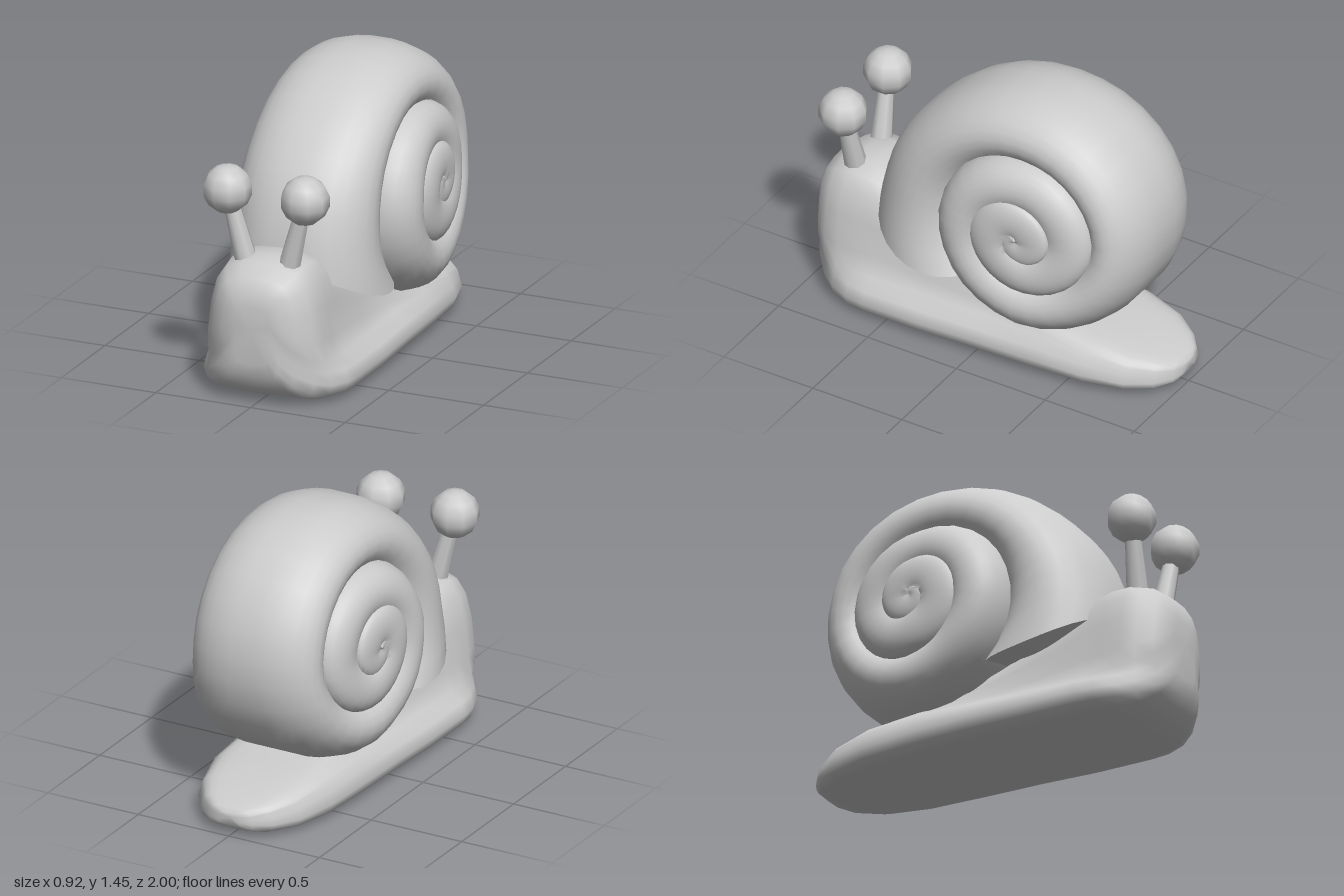
import * as THREE from 'three';
import { toCreasedNormals } from 'three/addons/utils/BufferGeometryUtils.js';

const material = new THREE.MeshStandardMaterial({ color: 0xcccccc });

// Skins a list of closed rings (arrays of [x, y, z]) and caps both ends.
function loft(rings) {
  const n = rings[0].length, last = (rings.length - 1) * n;
  const points = rings.flat();
  const index = [];
  for (let i = 0; i < rings.length - 1; i++) {
    for (let j = 0; j < n; j++) {
      const a = i * n + j, b = i * n + (j + 1) % n;
      index.push(a, a + n, b, b, a + n, b + n);
    }
  }
  const centre = (ring) => [0, 1, 2].map((k) => ring.reduce((s, p) => s + p[k], 0) / n);
  const c0 = points.push(centre(rings[0])) - 1;
  const c1 = points.push(centre(rings[rings.length - 1])) - 1;
  for (let j = 0; j < n; j++) {
    const k = (j + 1) % n;
    index.push(c0, j, k, c1, last + k, last + j);
  }
  const geometry = new THREE.BufferGeometry();
  geometry.setAttribute('position', new THREE.Float32BufferAttribute(points.flat(), 3));
  geometry.setIndex(index);
  geometry.computeVertexNormals();
  return geometry;
}

// Linear lookup in a table whose rows start with the key.
function sample(table, key) {
  let i = 0;
  while (i < table.length - 2 && key > table[i + 1][0]) i++;
  const t = THREE.MathUtils.clamp((key - table[i][0]) / (table[i + 1][0] - table[i][0]), 0, 1);
  return table[i].slice(1).map((v, k) => v + (table[i + 1][k + 1] - v) * t);
}

// Body stations, nose to tail: z, underside y, foot half width, neck half width, top y
const BODY = [
  [1.0, 0.22, 0.09, 0.1, 0.51],
  [0.985, 0.15, 0.145, 0.16, 0.58],
  [0.95, 0.085, 0.21, 0.225, 0.645],
  [0.88, 0.035, 0.285, 0.28, 0.695],
  [0.8, 0.01, 0.34, 0.292, 0.72],
  [0.7, 0.003, 0.378, 0.288, 0.72],
  [0.6, 0.003, 0.39, 0.278, 0.69],
  [0.3, 0.003, 0.388, 0.262, 0.53],
  [0, 0.01, 0.38, 0.26, 0.4],
  [-0.3, 0.01, 0.37, 0.29, 0.28],
  [-0.6, 0.01, 0.345, 0.29, 0.248],
  [-0.8, 0.012, 0.285, 0.25, 0.205],
  [-0.92, 0.022, 0.2, 0.175, 0.17],
  [-0.98, 0.04, 0.12, 0.105, 0.145],
  [-1.0, 0.065, 0.06, 0.052, 0.125],
];

function bodyRing([z, y0, foot, neck, top]) {
  const h = top - y0, e = Math.min(0.2, h * 0.75);
  const up = (t) => y0 + e + (h - e) * t;
  const half = [
    [foot * 0.78, y0 + e * 0.05],
    [foot * 0.95, y0 + e * 0.19],
    [foot, y0 + e * 0.45],
    [foot * 0.95, y0 + e * 0.75],
    [neck + (foot - neck) * 0.3, up(0)],
    [neck, up(0.2)],
    [neck * 0.94, up(0.52)],
    [neck * 0.83, up(0.77)],
    [neck * 0.65, up(0.92)],
    [neck * 0.34, up(0.99)],
  ];
  return [
    [0, y0, z],
    ...half.map(([x, y]) => [x, y, z]),
    [0, top, z],
    ...half.reverse().map(([x, y]) => [-x, y, z]),
  ];
}

// Shell spiral: angle in degrees, outer radius, half width, side rounding
const SHELL = [
  [-54, 0.955, 0.4, 0.33],
  [-30, 0.9, 0.37, 0.33],
  [0, 0.84, 0.358, 0.33],
  [22, 0.79, 0.35, 0.32],
  [45, 0.722, 0.342, 0.31],
  [65, 0.68, 0.335, 0.31],
  [90, 0.651, 0.33, 0.31],
  [180, 0.605, 0.345, 0.31],
  [225, 0.59, 0.39, 0.31],
  [270, 0.58, 0.438, 0.28],
  [315, 0.53, 0.462, 0.24],
  [360, 0.48, 0.46, 0.18],
  [450, 0.385, 0.41, 0.14],
  [540, 0.37, 0.4, 0.1],
  [630, 0.31, 0.45, 0.08],
  [720, 0.27, 0.457, 0.06],
  [810, 0.2, 0.445, 0.05],
  [900, 0.17, 0.435, 0.04],
  [1080, 0.09, 0.44, 0.03],
  [1200, 0.02, 0.44, 0.02],
];
const SHELL_Y = 0.8, SHELL_Z = -0.28, MOUTH = -54, END = 1200;

function shellRing(angle) {
  const [outer, width, corner] = sample(SHELL, angle);
  const inner = angle + 360 > END ? 0 : sample(SHELL, angle + 360)[0];
  const h = (outer - inner) / 2 + Math.min(0.05, outer * 0.12);
  // The mouth is cut at a slant, so the outer edge starts further round
  const slant = 40 * Math.max(0, 1 - (angle - MOUTH) / 80);
  const ring = [], n = 28;
  for (let j = 0; j < n; j++) {
    const phi = ((j + 0.5) / n) * Math.PI * 2;
    const c = Math.cos(phi), s = Math.sin(phi);
    const r = outer - h + h * s;
    const a = THREE.MathUtils.degToRad(angle + slant * (s + 1) / 2);
    ring.push([
      Math.sign(c) * (width - corner) + corner * c,
      SHELL_Y + r * Math.sin(a),
      SHELL_Z + r * Math.cos(a),
    ]);
  }
  return ring;
}

export function createModel() {
  const model = new THREE.Group();
  const add = (name, geometry) => {
    const mesh = new THREE.Mesh(geometry, material);
    mesh.name = name;
    model.add(mesh);
    return mesh;
  };

  // Body with flared foot, head and tail
  add('body', loft(BODY.map(bodyRing)));

  // Coiled shell
  const rings = [];
  for (let i = 0; i <= 100; i++) rings.push(shellRing(MOUTH + (END - MOUTH) * i / 100));
  add('shell', toCreasedNormals(loft(rings), 1.1));

  // Eye stalks and eyes
  for (const [side, label] of [[1, 'left'], [-1, 'right']]) {
    const base = new THREE.Vector3(side * 0.105, 0.64, 0.8);
    const tip = new THREE.Vector3(side * 0.205, 1.03, 0.82);
    const along = tip.clone().sub(base);
    const stalk = add(label + 'Stalk', new THREE.CylinderGeometry(0.036, 0.058, along.length(), 8, 1, true));
    stalk.position.copy(base).lerp(tip, 0.5);
    stalk.quaternion.setFromUnitVectors(new THREE.Vector3(0, 1, 0), along.normalize());
    const eye = add(label + 'Eye', new THREE.SphereGeometry(0.122, 9, 7));
    eye.position.copy(tip);
  }
  return model;
}
